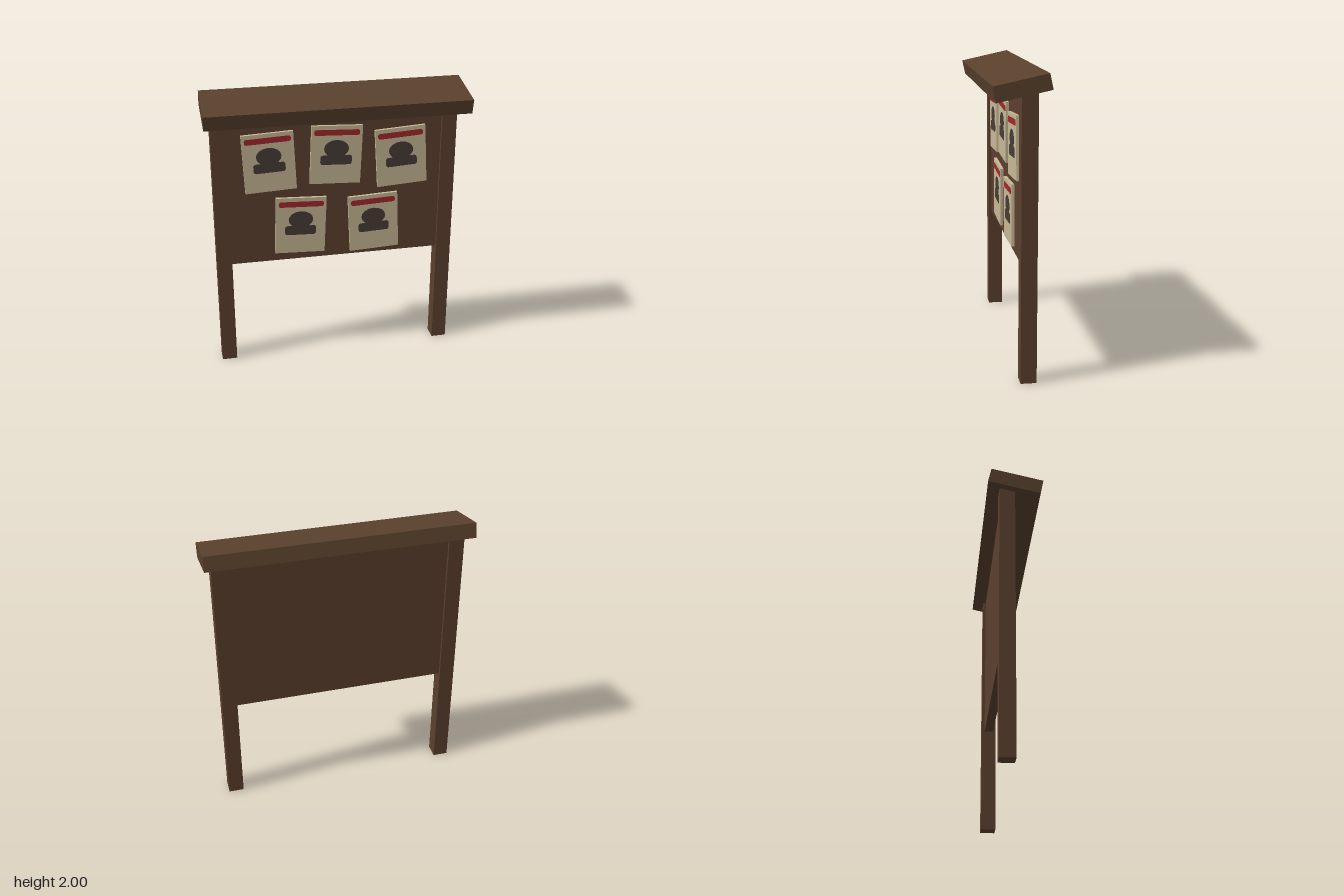
import * as THREE from 'three';

const mat = (name, color) => {
  const m = new THREE.MeshStandardMaterial({ color });
  m.name = name;
  return m;
};

export function createModel() {
  const wood = mat('brown wood', 0x5c402e);
  const roofWood = mat('roof wood', 0x5a412d);
  const paper = mat('parchment', 0xc8b895);
  const red = mat('red ink', 0xa0282d);
  const ink = mat('dark ink', 0x483c37);

  const group = new THREE.Group();
  group.name = 'noticeBoard';

  const add = (parent, name, geometry, material, x, y, z) => {
    const mesh = new THREE.Mesh(geometry, material);
    mesh.name = name;
    mesh.position.set(x, y, z);
    parent.add(mesh);
    return mesh;
  };

  // Posts, panel and sloping roof
  for (const [side, name] of [[1, 'leftPost'], [-1, 'rightPost']]) {
    add(group, name, new THREE.BoxGeometry(0.105, 1.89, 0.105), wood, side * 0.797, 0.945, -0.0525);
  }
  add(group, 'panel', new THREE.BoxGeometry(1.49, 1.115, 0.065), wood, 0, 1.3225, -0.0525);
  const roof = add(group, 'roof', new THREE.BoxGeometry(1.8, 0.102, 0.354), roofWood, 0, 1.9125, 0);
  roof.rotation.x = 0.213;

  // Flat printed shapes for the posters
  const roundedBar = (w, h, r) => {
    const s = new THREE.Shape();
    const x = w / 2 - r, y = h / 2 - r;
    s.absarc(x, y, r, 0, Math.PI / 2);
    s.absarc(-x, y, r, Math.PI / 2, Math.PI);
    s.absarc(-x, -y, r, Math.PI, Math.PI * 1.5);
    s.absarc(x, -y, r, Math.PI * 1.5, Math.PI * 2);
    return s;
  };
  const plate = (shape) =>
    new THREE.ExtrudeGeometry(shape, { depth: 0.003, bevelEnabled: false, curveSegments: 8 });
  const headShape = new THREE.Shape();
  headShape.absellipse(0, 0, 0.087, 0.063, 0, Math.PI * 2);

  const sheetGeo = new THREE.BoxGeometry(0.355, 0.418, 0.022);
  const bannerGeo = plate(roundedBar(0.317, 0.04, 0.015));
  const headGeo = plate(headShape);
  const bustGeo = plate(roundedBar(0.22, 0.068, 0.018));

  // Posters: x, y, tilt
  const posters = [
    [-0.4625, 1.515, 0.045],
    [0, 1.537, -0.043],
    [0.46, 1.4925, 0.06],
    [-0.254, 1.03, -0.043],
    [0.27, 1.01, 0.043],
  ];
  posters.forEach(([x, y, tilt], i) => {
    const poster = new THREE.Group();
    poster.name = `poster${i + 1}`;
    poster.position.set(x, y, 0);
    poster.rotation.z = tilt;
    add(poster, 'sheet', sheetGeo, paper, 0, 0, -0.01);
    add(poster, 'banner', bannerGeo, red, 0, 0.161, 0);
    add(poster, 'portraitHead', headGeo, ink, 0, 0.045, 0);
    add(poster, 'portraitBust', bustGeo, ink, 0, -0.036, 0.0005);
    group.add(poster);
  });

  return group;
}
